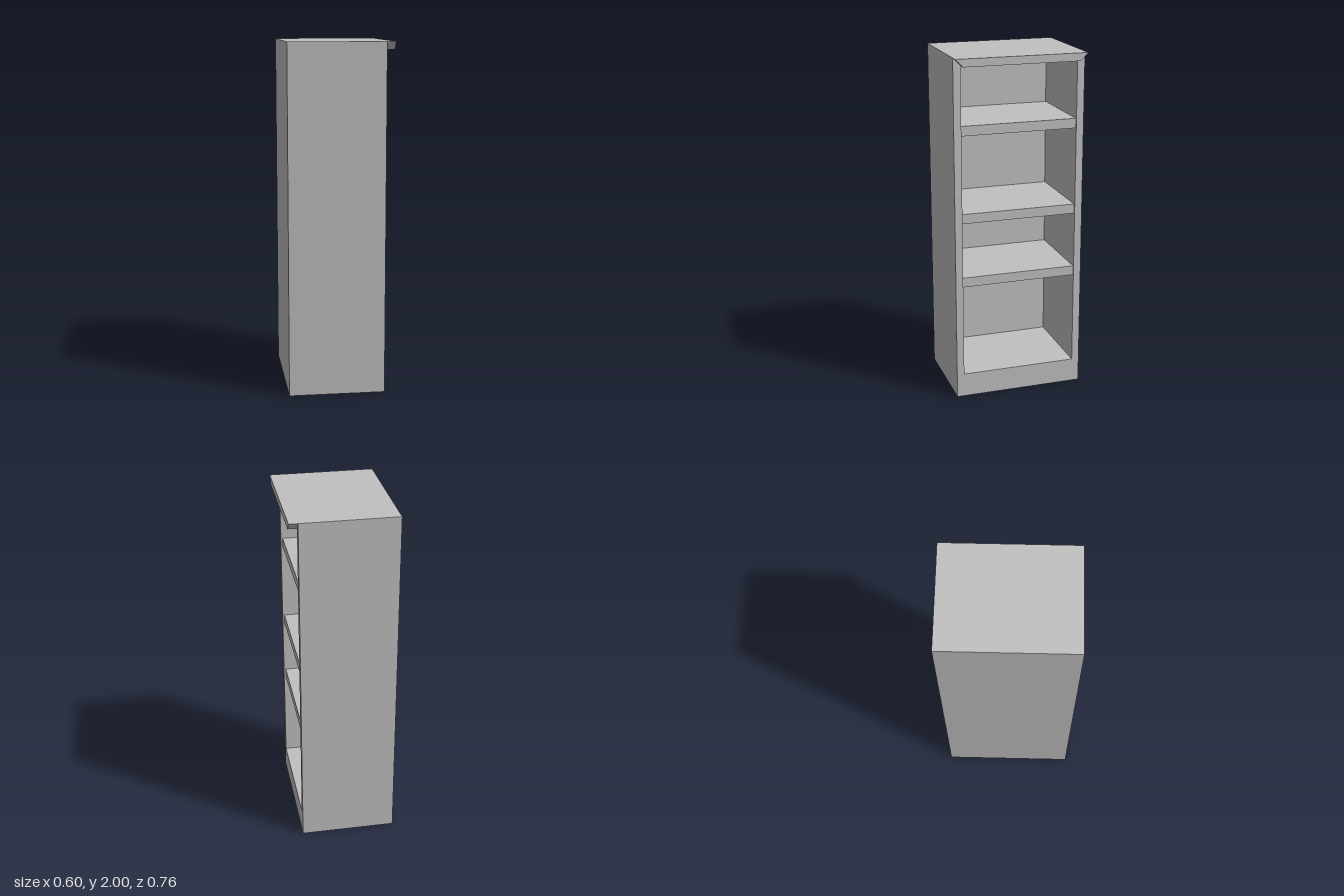
import * as THREE from 'three';

export function createModel() {
  const group = new THREE.Group();
  group.name = 'openCabinet';
  const grey = new THREE.MeshStandardMaterial({ color: 0xc0c0c0 });
  grey.name = 'light grey';

  // Box given by its minimum and maximum corners
  const box = (name, x0, x1, y0, y1, z0, z1) => {
    const mesh = new THREE.Mesh(new THREE.BoxGeometry(x1 - x0, y1 - y0, z1 - z0), grey);
    mesh.position.set((x0 + x1) / 2, (y0 + y1) / 2, (z0 + z1) / 2);
    mesh.name = name;
    group.add(mesh);
  };

  const back = -0.3, front = 0.25, half = 0.38, inner = 0.337;
  const backInner = -0.26, floorY = 0.14, ceilingY = 1.95;

  // Carcass: two side panels, back, base and top
  box('frontSidePanel', back, front, 0, 2, inner, half);
  box('rearSidePanel', back, front, 0, 2, -half, -inner);
  box('backPanel', back, backInner, floorY, ceilingY, -inner, inner);
  box('base', back, front, 0, floorY, -inner, inner);
  box('topPanel', back, front, ceilingY, 2, -inner, inner);

  // Shelves, set back slightly from the opening
  [0.68, 1.06, 1.565].forEach((y, i) =>
    box('shelf' + (i + 1), backInner, front - 0.01, y, y + 0.056, -inner, inner));

  // Overhanging lip with ends slanting inwards towards the bottom
  const lipShape = new THREE.Shape([
    new THREE.Vector2(-half, 2),
    new THREE.Vector2(-inner, 1.955),
    new THREE.Vector2(inner, 1.955),
    new THREE.Vector2(half, 2),
  ]);
  const lip = new THREE.Mesh(
    new THREE.ExtrudeGeometry(lipShape, { depth: 0.05, bevelEnabled: false }), grey);
  lip.rotation.y = Math.PI / 2;
  lip.position.x = front;
  lip.name = 'topLip';
  group.add(lip);

  return group;
}
